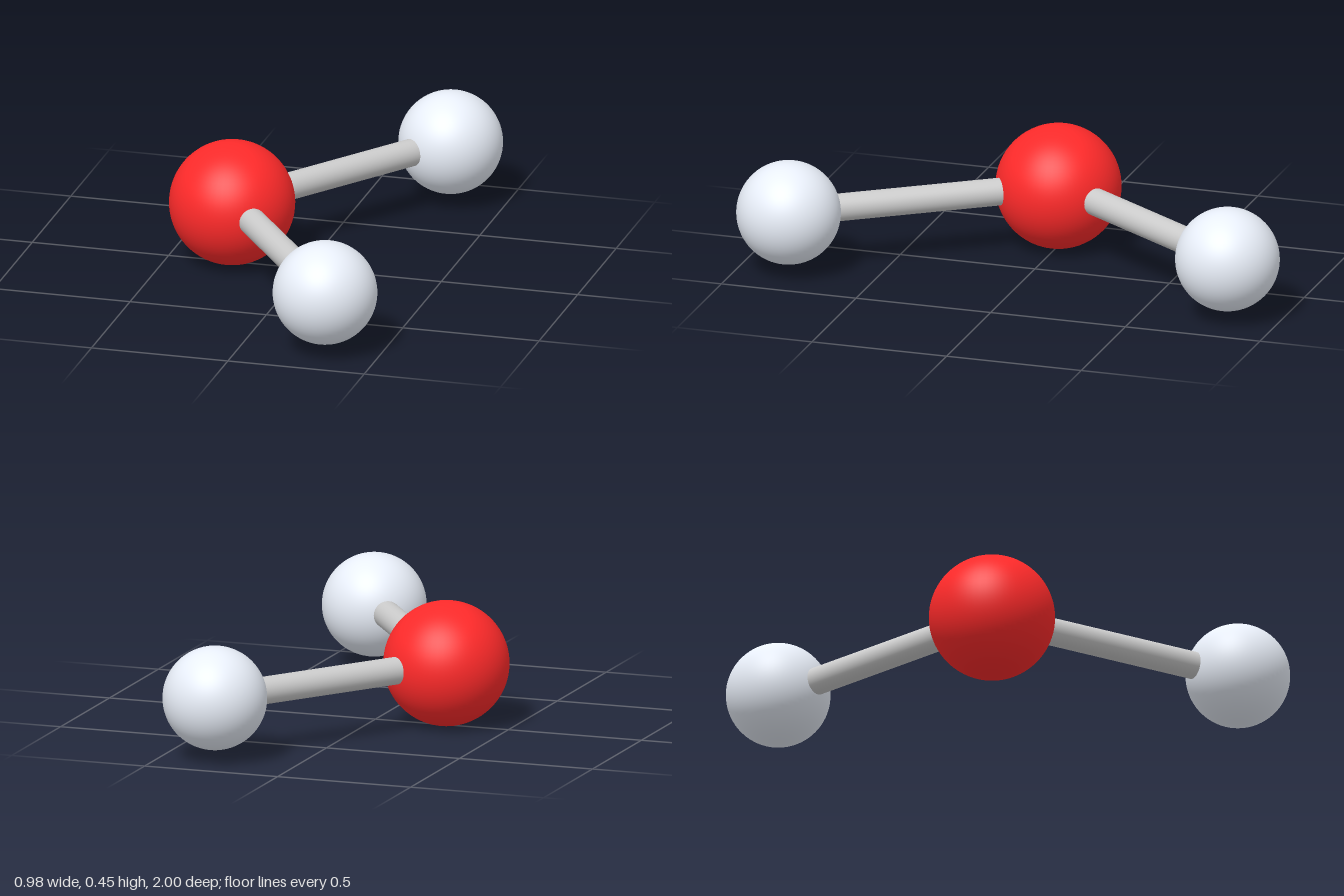
import * as THREE from 'three';

const CENTRE_Y = 0.223;

function ball(name, radius, position, color) {
  const mesh = new THREE.Mesh(
    new THREE.SphereGeometry(radius, 64, 40),
    new THREE.MeshStandardMaterial({ color })
  );
  mesh.name = name;
  mesh.position.copy(position);
  return mesh;
}

// Straight rod running between two points
function rod(name, radius, from, to) {
  const dir = to.clone().sub(from);
  const mesh = new THREE.Mesh(
    new THREE.CylinderGeometry(radius, radius, dir.length(), 40),
    new THREE.MeshStandardMaterial({ color: 0xcccccc })
  );
  mesh.name = name;
  mesh.position.copy(from).add(to).multiplyScalar(0.5);
  mesh.quaternion.setFromUnitVectors(new THREE.Vector3(0, 1, 0), dir.normalize());
  return mesh;
}

export function createModel() {
  const model = new THREE.Group();
  model.name = 'waterMolecule';

  // Large central atom
  const centre = new THREE.Vector3(-0.267, CENTRE_Y, 0);
  model.add(ball('oxygenAtom', 0.223, centre, 0xff2a2a));

  // Two small atoms, each joined to the centre by a bond
  for (const [side, label] of [[1, 'front'], [-1, 'back']]) {
    const end = new THREE.Vector3(0.304, CENTRE_Y, side * 0.815);
    model.add(ball(label + 'HydrogenAtom', 0.185, end, 0xe8eef8));
    model.add(rod(label + 'Bond', 0.049, centre, end));
  }
  return model;
}
